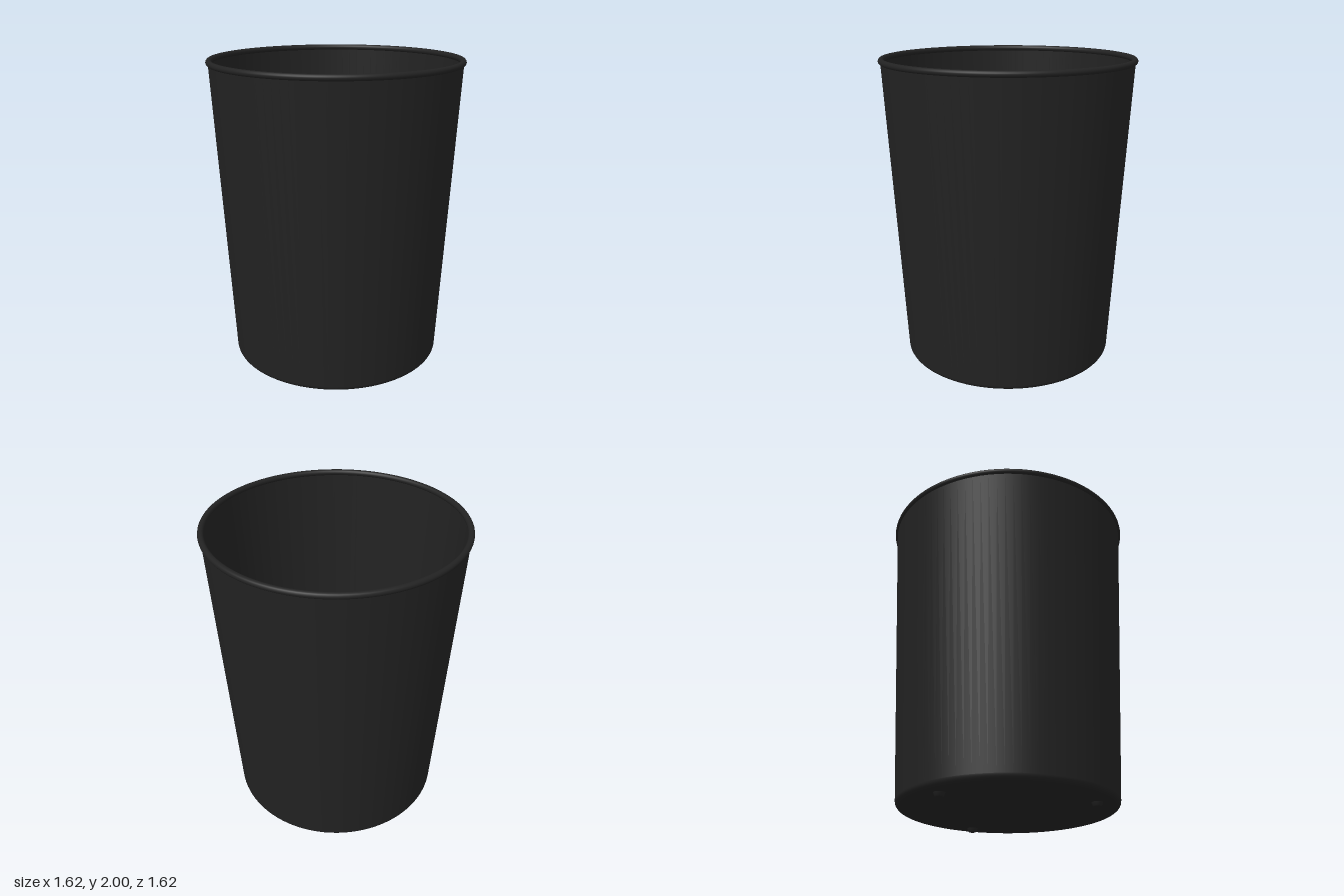
import * as THREE from 'three';

const SEG = 96;
const OUT_Y = 0.025, IN_Y = 0.037; // underside and inside of the floor
const FLAT_R = 0.655, FOOT_R = 0.035;
const FEET = [[0, -0.57], [0.52, 0.21], [-0.52, 0.21]];

const material = new THREE.MeshStandardMaterial({ color: 0x222222 });

function add(parent, name, geometry) {
  const mesh = new THREE.Mesh(geometry, material);
  mesh.name = name;
  parent.add(mesh);
  return mesh;
}

const lathe = (pts, seg = SEG) =>
  new THREE.LatheGeometry(pts.map(([r, y]) => new THREE.Vector2(r, y)), seg);

// Quarter-round corner between the floor and the wall
function corner(cx, cy, r, steps = 8) {
  return Array.from({ length: steps + 1 }, (_, i) => {
    const a = -Math.PI / 2 + (i / steps) * (Math.PI / 2);
    return [cx + r * Math.cos(a), cy + r * Math.sin(a)];
  });
}

// Flat disc with an opening at each foot, facing up (1) or down (-1)
function floorDisc(facing) {
  const shape = new THREE.Shape().absarc(0, 0, FLAT_R, 0, Math.PI * 2);
  for (const [x, z] of FEET) {
    shape.holes.push(new THREE.Path().absarc(x, -facing * z, FOOT_R, 0, Math.PI * 2, true));
  }
  return new THREE.ShapeGeometry(shape, SEG).rotateX(-facing * Math.PI / 2);
}

export function createModel() {
  const bin = new THREE.Group();
  bin.name = 'wasteBin';

  // Thin tapered wall, outside and inside
  add(bin, 'outerWall', lathe([...corner(FLAT_R, OUT_Y + 0.035, 0.035), [0.795, 1.98]]));
  const inner = [...corner(FLAT_R, IN_Y + 0.027, 0.027), [0.784, 1.98]];
  add(bin, 'innerWall', lathe(inner.reverse()));

  // Rolled rim
  const rim = add(bin, 'rim', new THREE.TorusGeometry(0.79, 0.019, 16, SEG));
  rim.rotation.x = Math.PI / 2;
  rim.position.y = 1.981;

  // Floor
  add(bin, 'floorUnderside', floorDisc(-1)).position.y = OUT_Y;
  add(bin, 'floorInside', floorDisc(1)).position.y = IN_Y;

  // Three pressed feet, each a bump below and a dimple above
  for (const [x, z] of FEET) {
    const foot = new THREE.Group();
    foot.name = 'foot';
    foot.position.set(x, 0, z);
    add(foot, 'footBump', lathe([[0, 0], [0.02, 0], [0.027, 0.004], [FOOT_R, OUT_Y]], 32));
    add(foot, 'footDimple', lathe([[FOOT_R, IN_Y], [0.026, 0.016], [0.019, 0.012], [0, 0.012]], 32));
    bin.add(foot);
  }
  return bin;
}
